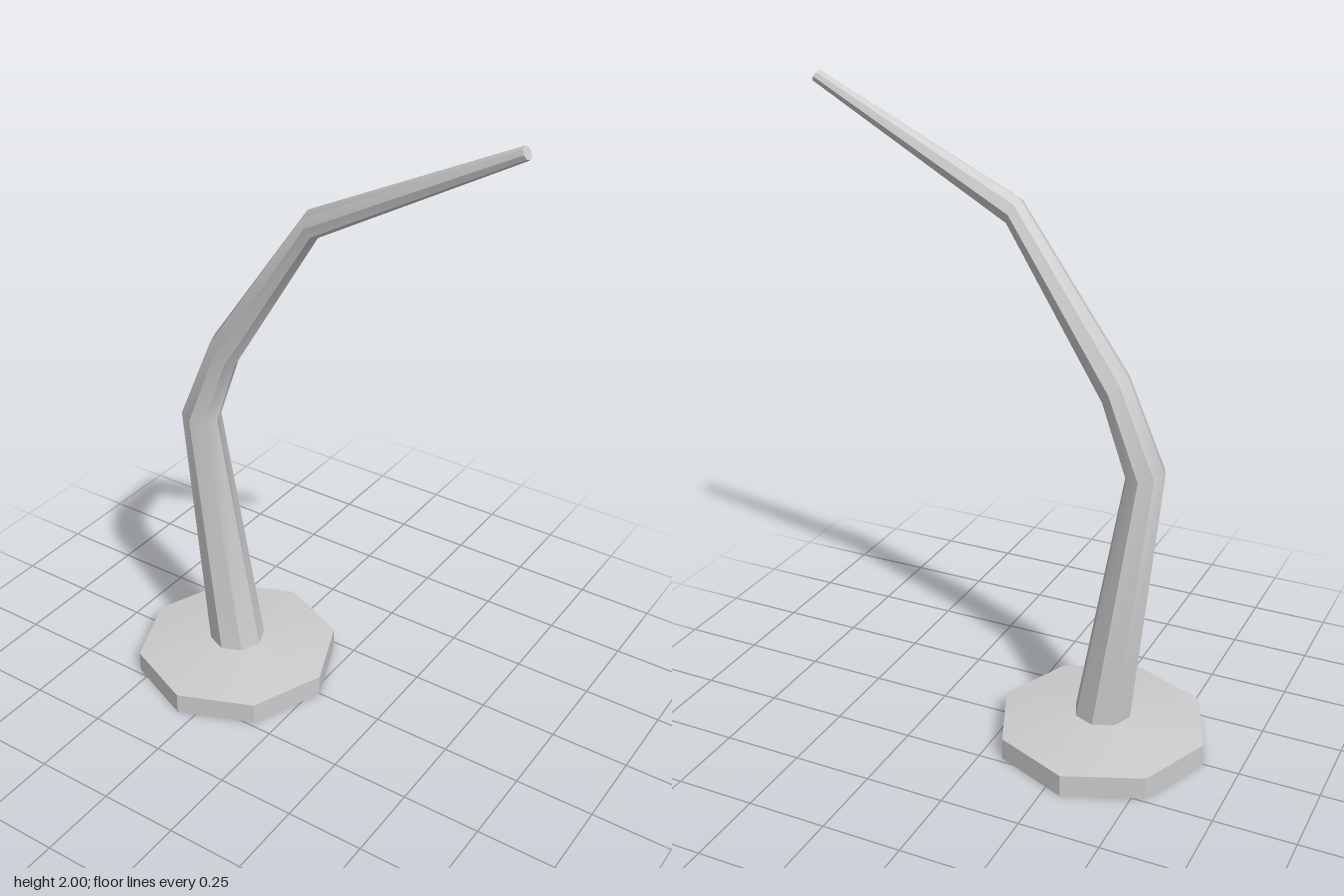
import * as THREE from 'three';
import { toCreasedNormals } from 'three/addons/utils/BufferGeometryUtils.js';

const SIDES = 8;
const CREASE = 0.6;

// Tapered octagonal tube through a few tilted rings, closed at the tip.
// Each ring: centre x, y, z, half-width vector ux, uy in the bend plane, half-depth d.
function tubeFromRings(rings) {
  const positions = [];
  const index = [];
  for (const [x, y, z, ux, uy, d] of rings) {
    for (let i = 0; i < SIDES; i++) {
      const t = (i / SIDES) * Math.PI * 2;
      positions.push(x + ux * Math.cos(t), y + uy * Math.cos(t), z + d * Math.sin(t));
    }
  }
  for (let r = 0; r < rings.length - 1; r++) {
    for (let i = 0; i < SIDES; i++) {
      const j = (i + 1) % SIDES;
      const a = r * SIDES + i, b = r * SIDES + j;
      const c = a + SIDES, e = b + SIDES;
      index.push(a, c, b, b, c, e);
    }
  }
  // Tip cap
  const last = (rings.length - 1) * SIDES;
  const centre = rings.length * SIDES;
  positions.push(...rings[rings.length - 1].slice(0, 3));
  for (let i = 0; i < SIDES; i++) index.push(centre, last + ((i + 1) % SIDES), last + i);

  const geometry = new THREE.BufferGeometry();
  geometry.setAttribute('position', new THREE.Float32BufferAttribute(positions, 3));
  geometry.setIndex(index);
  return toCreasedNormals(geometry, CREASE);
}

export function createModel() {
  const group = new THREE.Group();
  const material = new THREE.MeshStandardMaterial({ color: 0xcccccc });

  // Octagonal foot with a shallow sloping top
  const profile = [[0, 0], [0.331, 0], [0.331, 0.07], [0.09, 0.102], [0, 0.102]]
    .map(([r, y]) => new THREE.Vector2(r, y));
  const base = new THREE.Mesh(
    toCreasedNormals(new THREE.LatheGeometry(profile, SIDES), CREASE), material);
  base.name = 'base';
  base.position.x = -0.305;
  group.add(base);

  // Curved stem, leaning back and then sweeping over to the side
  const stem = new THREE.Mesh(tubeFromRings([
    [-0.305, 0.1, 0, 0.09, 0, 0.09],
    [-0.418, 0.925, 0, 0.06, -0.01, 0.064],
    [-0.32, 1.172, 0, 0.036, -0.043, 0.058],
    [-0.004, 1.653, -0.004, 0.017, -0.038, 0.044],
    [0.621, 1.984, -0.008, 0.009, -0.017, 0.02],
  ]), material);
  stem.name = 'stem';
  group.add(stem);

  return group;
}
